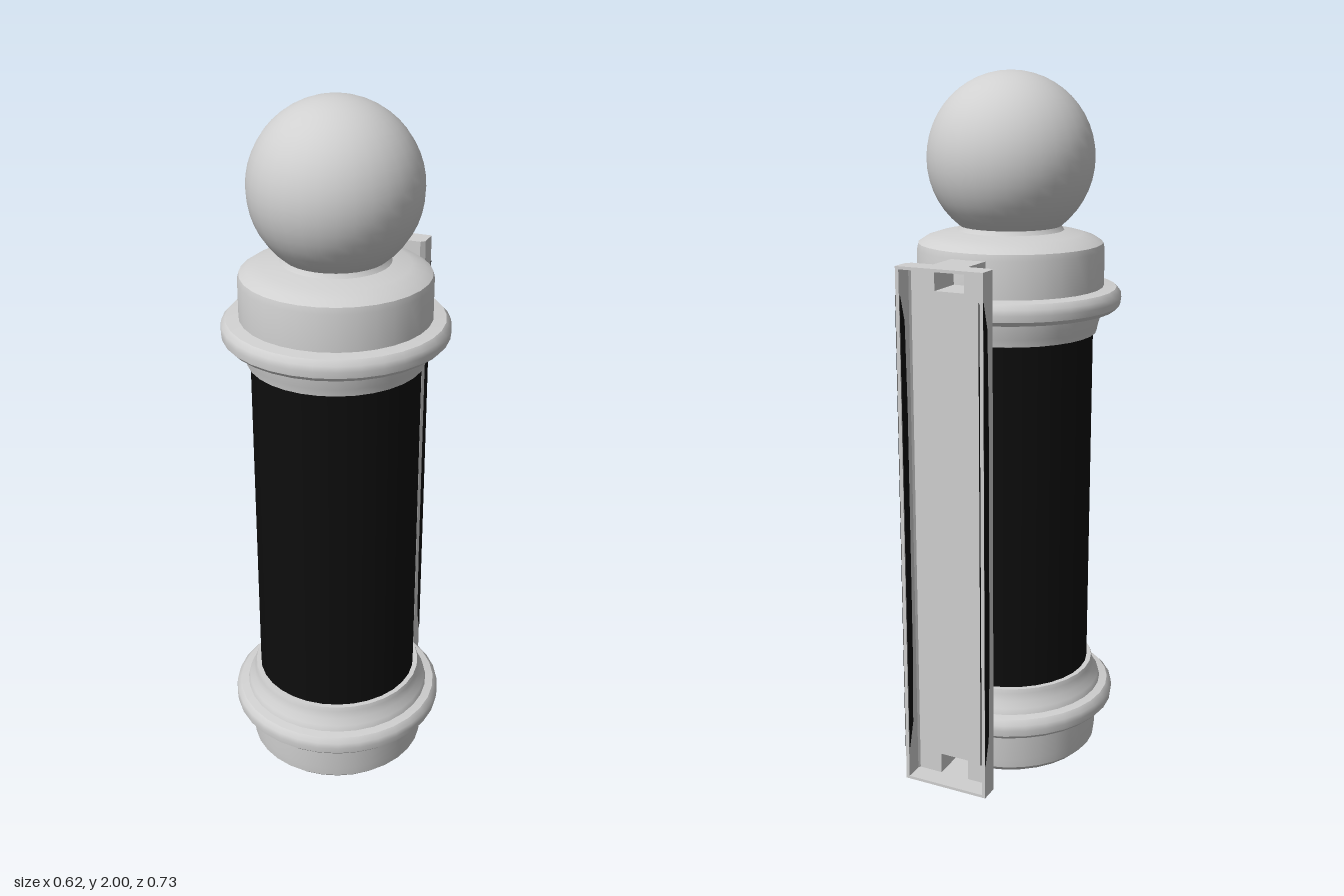
import * as THREE from 'three';
import { toCreasedNormals } from 'three/addons/utils/BufferGeometryUtils.js';

const AXIS_Z = 0.055;   // centre line of the pole
const BACK_Z = -0.365;  // wall side of the bracket

export function createModel() {
  const model = new THREE.Group();
  const grey = new THREE.MeshStandardMaterial({ color: 0xd0d0d0 });
  grey.name = 'light grey';
  const black = new THREE.MeshStandardMaterial({ color: 0x0d0d0d });
  black.name = 'black';

  const add = (name, geometry, material, x = 0, y = 0, z = 0) => {
    const mesh = new THREE.Mesh(geometry, material);
    mesh.name = name;
    mesh.position.set(x, y, z);
    model.add(mesh);
    return mesh;
  };
  const turned = (name, profile, material = grey) => {
    const points = profile.map(([r, y]) => new THREE.Vector2(r, y));
    const geometry = toCreasedNormals(new THREE.LatheGeometry(points, 32), 0.65);
    return add(name, geometry, material, 0, 0, AXIS_Z);
  };
  const rect = (Type, w, y0, y1) => {
    const s = new Type();
    s.moveTo(-w, y0).lineTo(w, y0).lineTo(w, y1).lineTo(-w, y1).closePath();
    return s;
  };
  const extrude = (shape, depth) =>
    new THREE.ExtrudeGeometry(shape, { depth, bevelEnabled: false });

  // Pole: dark cylinder between two turned caps
  add('cylinder', new THREE.CylinderGeometry(0.232, 0.232, 1.02, 32, 1, true), black, 0, 0.793, AXIS_Z);

  turned('bottomCap', [
    [0, 0], [0.14, 0.008], [0.2, 0.02], [0.24, 0.035], [0.257, 0.052], [0.26, 0.08], [0.26, 0.17],
    [0.295, 0.168], [0.307, 0.18], [0.309, 0.197], [0.307, 0.213], [0.295, 0.226], [0.272, 0.23],
    [0.267, 0.246], [0.253, 0.262], [0.25, 0.285], [0.246, 0.297], [0.23, 0.297],
  ]);
  turned('topCap', [
    [0.23, 1.292], [0.242, 1.295], [0.246, 1.315], [0.252, 1.335], [0.255, 1.36],
    [0.295, 1.362], [0.307, 1.374], [0.309, 1.391], [0.307, 1.407], [0.295, 1.42], [0.26, 1.424],
    [0.26, 1.525], [0.256, 1.542], [0.235, 1.556], [0.2, 1.567], [0.148, 1.576], [0.138, 1.59], [0.13, 1.61],
  ]);

  // Ball finial
  add('ball', new THREE.SphereGeometry(0.23, 32, 24), grey, 0, 1.77, AXIS_Z);

  // Wall channel: front plate with openings behind the hollow arms
  const bottom = 0.06, top = 1.525, armHeight = 0.075, wall = 0.008;
  const arms = [['bottomArm', bottom], ['topArm', top - armHeight]];
  const plate = rect(THREE.Shape, 0.113, bottom, top);
  arms.forEach(([, y]) =>
    plate.holes.push(rect(THREE.Path, 0.043, y + wall, y + armHeight - wall)));
  add('channelPlate', extrude(plate, wall), grey, 0, 0, -0.308);

  // Arms joining the channel to the caps
  arms.forEach(([name, y]) => {
    const arm = rect(THREE.Shape, 0.05, y, y + armHeight);
    arm.holes.push(rect(THREE.Path, 0.043, y + wall, y + armHeight - wall));
    add(name, extrude(arm, 0.1), grey, 0, 0, -0.302);
  });

  // Channel flanges with chamfered front corners and dark edge strips
  [-1, 1].forEach((side) => {
    const section = new THREE.Shape();
    // Shape y becomes -z once the extrusion is stood upright
    const pts = [[0.125, 0.365], [0.125, 0.312], [0.113, 0.3], [0.111, 0.308], [0.115, 0.315], [0.115, 0.365]];
    section.setFromPoints(pts.map(([x, d]) => new THREE.Vector2(side * x, d)));
    const flange = extrude(section, top - bottom);
    flange.rotateX(-Math.PI / 2);
    add(side < 0 ? 'rightFlange' : 'leftFlange', flange, grey, 0, bottom, 0);

    const strip = new THREE.Shape();
    strip.moveTo(0, 0.16).lineTo(0.02, 0.23).lineTo(0.026, 0.45).lineTo(0.026, 1.15)
      .lineTo(0.02, 1.38).lineTo(0, 1.45).closePath();
    [0.1255, 0.1125].forEach((x) => {
      const g = extrude(strip, 0.002);
      g.rotateY(-Math.PI / 2);
      add('edgeStrip', g, black, side * x + 0.001, 0, BACK_Z + 0.0005);
    });
  });

  // Channel end walls
  const end = new THREE.Shape();
  end.moveTo(-0.12, 0.365).lineTo(-0.12, 0.31).lineTo(-0.112, 0.301)
    .lineTo(0.112, 0.301).lineTo(0.12, 0.31).lineTo(0.12, 0.365).closePath();
  [['channelBottom', bottom], ['channelTop', top - wall]].forEach(([name, y]) => {
    const g = extrude(end, wall);
    g.rotateX(-Math.PI / 2);
    add(name, g, grey, 0, y, 0);
  });

  return model;
}
